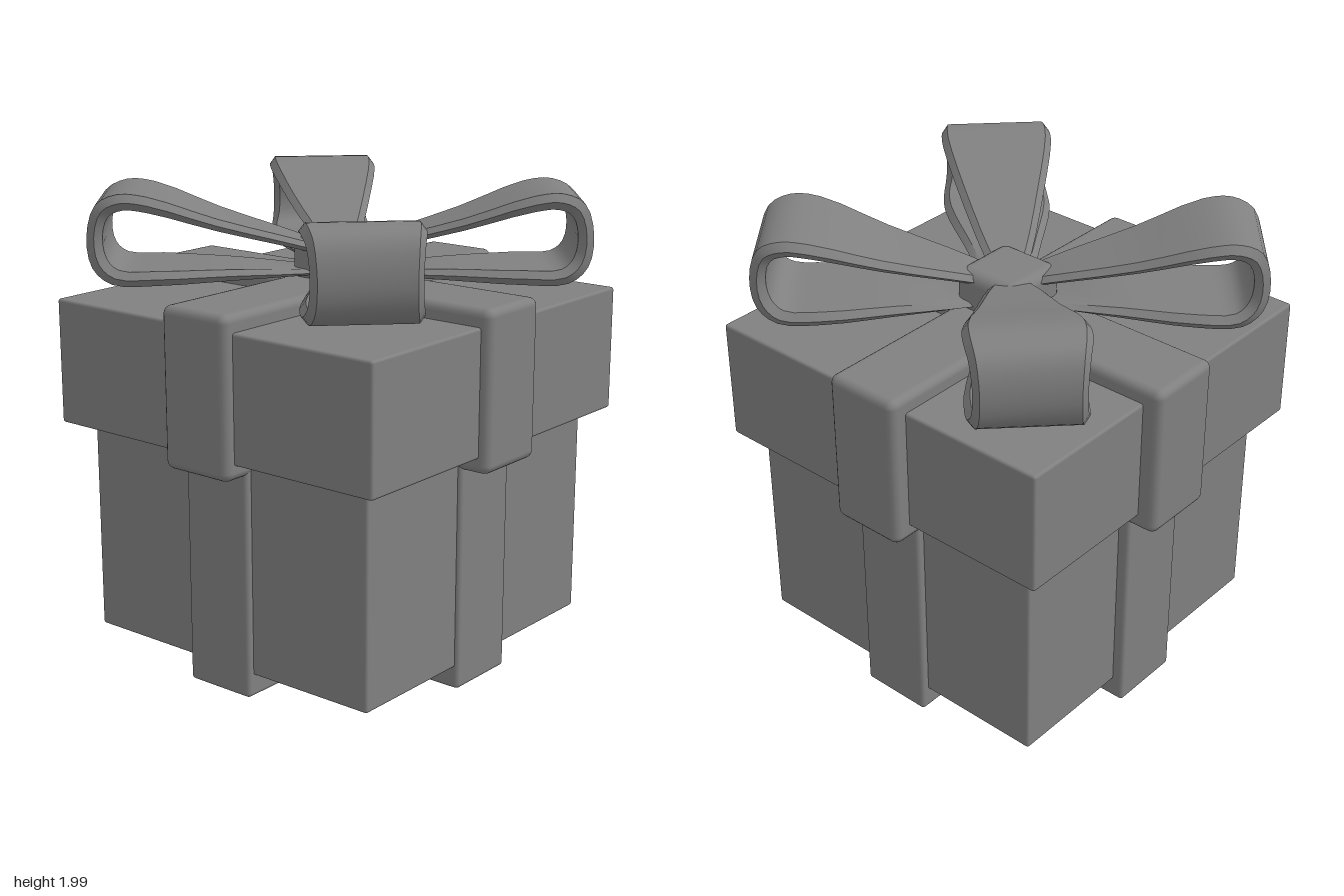
import * as THREE from 'three';
import { RoundedBoxGeometry } from 'three/addons/geometries/RoundedBoxGeometry.js';
import { toCreasedNormals } from 'three/addons/utils/BufferGeometryUtils.js';

const grey = new THREE.MeshStandardMaterial({ color: 0x808080 });
grey.name = 'plain grey';

// Box given by its min and max corners, with softened edges
function softBox(name, min, max, radius) {
  const [w, h, d] = max.map((v, i) => v - min[i]);
  const mesh = new THREE.Mesh(new RoundedBoxGeometry(w, h, d, 2, radius), grey);
  mesh.position.set(...max.map((v, i) => (v + min[i]) / 2));
  mesh.name = name;
  return mesh;
}

// Ribbon loop along +x: outer and inner paths as (radius, height, half width)
function bowLoopGeometry() {
  const curve = (pts) => new THREE.CatmullRomCurve3(pts.map((p) => new THREE.Vector3(...p)), false, 'centripetal');
  const outer = curve([
    [0.04, 1.73, 0.06], [0.15, 1.77, 0.1], [0.5, 1.875, 0.18], [0.78, 1.975, 0.235], [0.9, 1.985, 0.235],
    [0.99, 1.94, 0.22], [1.03, 1.81, 0.21], [1.01, 1.68, 0.215], [0.93, 1.615, 0.23], [0.75, 1.61, 0.23],
    [0.45, 1.618, 0.17], [0.15, 1.625, 0.1], [0.04, 1.625, 0.06],
  ]);
  const inner = curve([
    [0.04, 1.69, 0.06], [0.15, 1.73, 0.1], [0.5, 1.825, 0.18], [0.78, 1.91, 0.235], [0.88, 1.92, 0.235],
    [0.94, 1.89, 0.22], [0.965, 1.81, 0.21], [0.95, 1.72, 0.215], [0.9, 1.675, 0.23], [0.75, 1.67, 0.23],
    [0.45, 1.665, 0.17], [0.15, 1.65, 0.1], [0.04, 1.65, 0.06],
  ]);
  const steps = 36, sides = 6, bevel = 0.025;
  const positions = [], index = [];
  for (let i = 0; i <= steps; i++) {
    const o = outer.getPoint(i / steps), n = inner.getPoint(i / steps);
    const m = o.clone().lerp(n, 0.5), w = o.z, c = w - bevel;
    positions.push(
      o.x, o.y, -c, o.x, o.y, c, m.x, m.y, w,
      n.x, n.y, c, n.x, n.y, -c, m.x, m.y, -w,
    );
    if (i === steps) break;
    for (let j = 0; j < sides; j++) {
      const a = i * sides + j, d = i * sides + (j + 1) % sides;
      index.push(a, d, d + sides, a, d + sides, a + sides);
    }
  }
  const g = new THREE.BufferGeometry();
  g.setAttribute('position', new THREE.Float32BufferAttribute(positions, 3));
  g.setIndex(index);
  return toCreasedNormals(g, 0.6);
}

export function createModel() {
  const model = new THREE.Group();
  model.name = 'giftBox';

  // Box and lid
  model.add(
    softBox('boxBody', [-0.725, 0.095, -0.73], [0.738, 1.1, 0.74], 0.012),
    softBox('lid', [-0.82, 1.01, -0.815], [0.838, 1.54, 0.84], 0.012),
  );

  // Crossed ribbons around the box and the lid
  model.add(
    softBox('boxRibbonAcross', [-0.775, 0, -0.17], [0.755, 1.0, 0.163], 0.018),
    softBox('boxRibbonAlong', [-0.172, 0, -0.765], [0.153, 1.0, 0.77], 0.018),
    softBox('lidRibbonAcross', [-0.9, 0.945, -0.175], [0.88, 1.612, 0.167], 0.035),
    softBox('lidRibbonAlong', [-0.18, 0.945, -0.89], [0.158, 1.612, 0.887], 0.035),
  );

  // Bow of four loops around a knot
  const bow = new THREE.Group();
  bow.name = 'bow';
  const loop = bowLoopGeometry();
  [40, 135, 220, 315].forEach((deg, i) => {
    const mesh = new THREE.Mesh(loop, grey);
    mesh.rotation.y = THREE.MathUtils.degToRad(deg);
    mesh.name = `bowLoop${i + 1}`;
    bow.add(mesh);
  });
  bow.add(softBox('knot', [-0.155, 1.59, -0.17], [0.155, 1.782, 0.143], 0.05));
  model.add(bow);
  return model;
}
